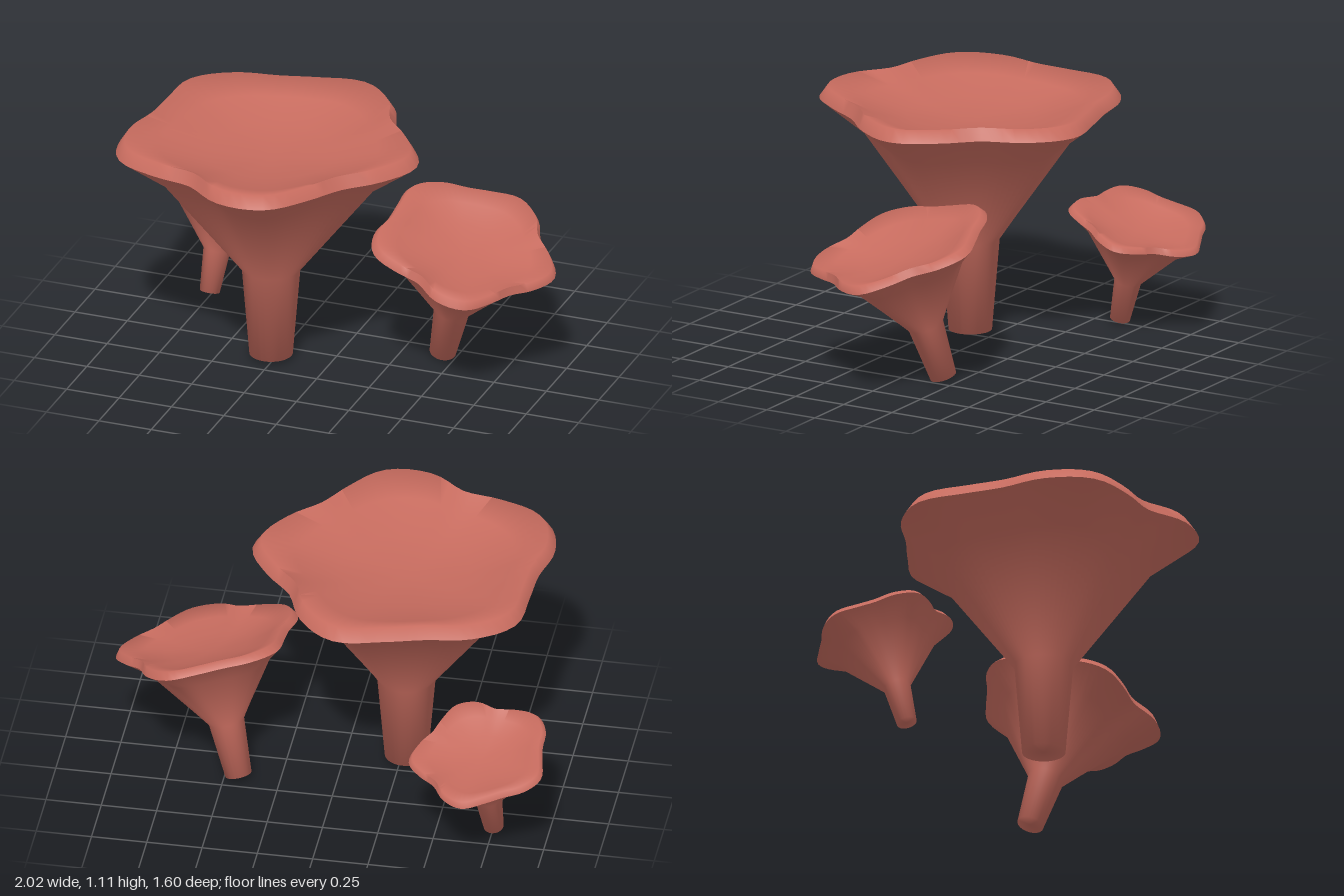
import * as THREE from 'three';
import { mergeGeometries, toCreasedNormals } from 'three/addons/utils/BufferGeometryUtils.js';

// Rim radius every 18 degrees, measured from +x towards +z
const RIM = [0.695, 0.635, 0.574, 0.615, 0.69, 0.665, 0.575, 0.625, 0.7, 0.67,
  0.6, 0.62, 0.695, 0.67, 0.615, 0.635, 0.7, 0.655, 0.58, 0.63];
const MEAN = 0.635;

// Smooth periodic lookup of the wavy rim
function rimRadius(angle) {
  const n = RIM.length;
  const t = ((angle / (Math.PI * 2)) * n + n) % n;
  const i = Math.floor(t), f = t - i;
  const [a, b, c, d] = [-1, 0, 1, 2].map((k) => RIM[(i + k + n) % n]);
  return b + 0.5 * f * (c - a + f * (2 * a - 5 * b + 4 * c - d + f * (3 * (b - c) + d - a)));
}

// Turned surface from rows of [radius, height, lobe strength]
function lobedLathe(rows) {
  const geo = new THREE.LatheGeometry(rows.map(([r, y]) => new THREE.Vector2(r, y)), 80);
  const pos = geo.attributes.position;
  for (let i = 0; i < pos.count; i++) {
    const x = pos.getX(i), z = pos.getZ(i);
    const strength = rows[i % rows.length][2];
    const k = THREE.MathUtils.lerp(1, rimRadius(Math.atan2(z, x)) / MEAN, strength);
    pos.setX(i, x * k);
    pos.setZ(i, z * k);
  }
  return toCreasedNormals(geo, 1.5);
}

// Round stem flaring into a lobed cap with a shallow, rounder dish on top
function funnelGeometry() {
  const underside = lobedLathe([
    [0, 0, 0], [0.097, 0, 0], [0.131, 0.42, 0],
    [0.71 * MEAN, 0.89, 1], [MEAN, 1.035, 1],
  ]);
  const top = lobedLathe([
    [MEAN, 1.035, 1], [0.945 * MEAN, 1.09, 1],
    [0.75 * MEAN, 1.04, 0.5], [0.45 * MEAN, 0.99, 0.2], [0, 0.965, 0],
  ]);
  return mergeGeometries([underside, top]);
}

export function createModel() {
  const group = new THREE.Group();
  const flesh = new THREE.MeshStandardMaterial({ color: 0xc66b5e });
  flesh.name = 'terracotta flesh';
  const geo = funnelGeometry();

  // One growth per entry: base position, scale, lean and turn about its stem
  const growths = [
    ['largeFunnel', [-0.272, 0.02, 0.108], 1, [0, 1, 0], 0],
    ['mediumFunnel', [0.437, 0.02, -0.178], 0.615, [0.26, 1, 0.215], 0.06],
    ['smallFunnel', [-0.753, 0.02, -0.38], 0.465, [0.08, 1, -0.265], 0.2],
  ];
  const up = new THREE.Vector3(0, 1, 0);
  for (const [name, base, scale, lean, turn] of growths) {
    const mesh = new THREE.Mesh(geo, flesh);
    mesh.name = name;
    mesh.position.set(...base);
    mesh.scale.setScalar(scale);
    mesh.quaternion.setFromUnitVectors(up, new THREE.Vector3(...lean).normalize());
    mesh.rotateY(turn);
    group.add(mesh);
  }
  return group;
}
